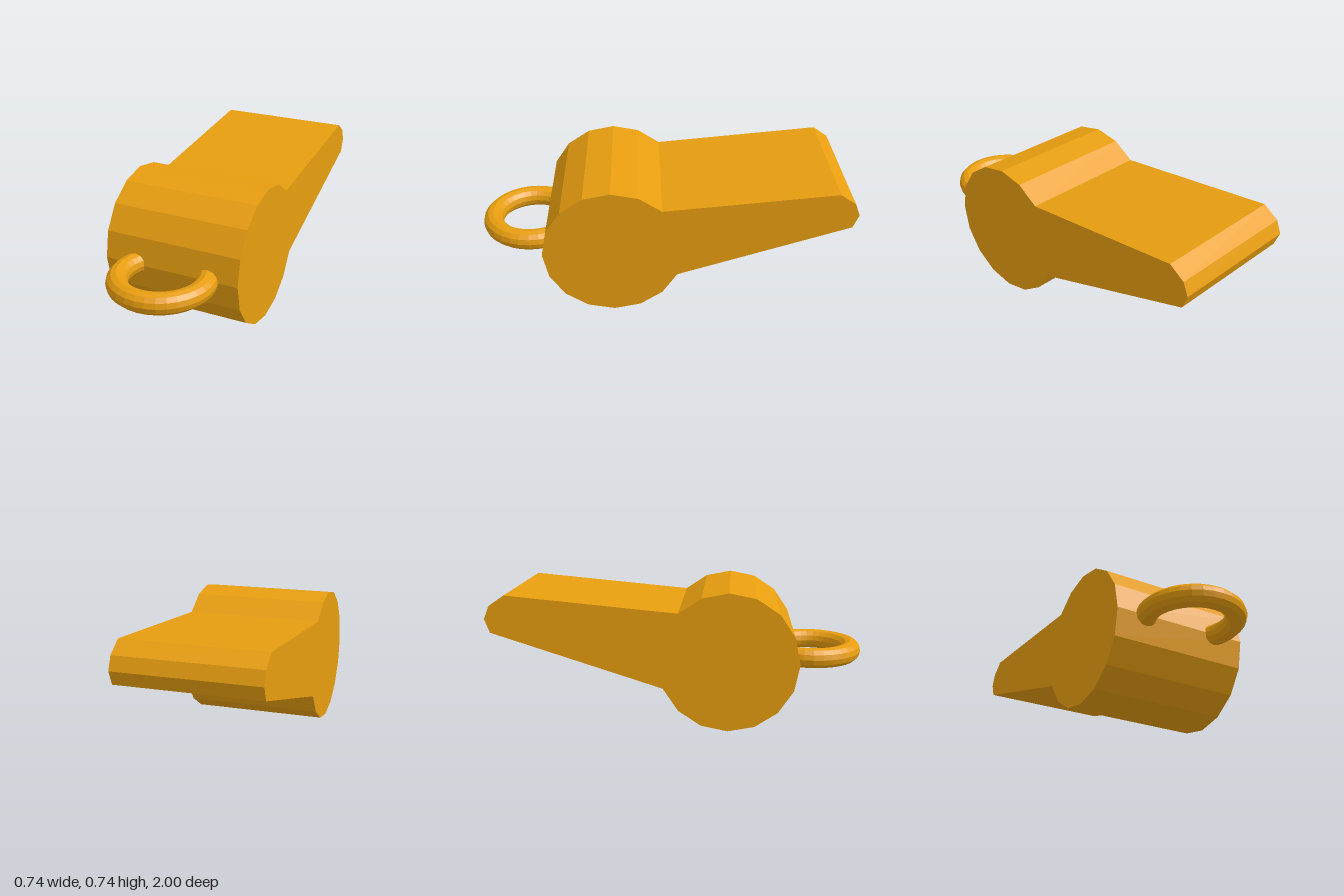
import * as THREE from 'three';

export function createModel() {
  const group = new THREE.Group();
  const amber = new THREE.MeshStandardMaterial({ color: 0xeba010, flatShading: true });
  amber.name = 'amber';

  const width = 0.738, radius = 0.37, centreZ = 0.275, centreY = 0.37;

  // Side profile: most of a 16-sided barrel, then the tapered mouthpiece
  const points = [];
  for (let i = -7; i <= 6; i++) {
    const a = (i * Math.PI) / 8;
    points.push(new THREE.Vector2(centreZ + radius * Math.cos(a), centreY + radius * Math.sin(a)));
  }
  for (const [z, y] of [[-0.89, 0.714], [-0.972, 0.657], [-1, 0.588], [-0.972, 0.515]]) {
    points.push(new THREE.Vector2(z, y));
  }
  const bodyGeometry = new THREE.ExtrudeGeometry(new THREE.Shape(points), { depth: width, bevelEnabled: false });
  bodyGeometry.translate(0, 0, -width / 2).rotateY(-Math.PI / 2);
  const body = new THREE.Mesh(bodyGeometry, amber);
  body.name = 'whistleBody';
  group.add(body);

  // Lanyard ring, lying flat and partly sunk in the barrel
  const ring = new THREE.Mesh(new THREE.TorusGeometry(0.222, 0.055, 12, 32).rotateX(Math.PI / 2), amber);
  ring.position.set(0, centreY, 0.723);
  ring.name = 'lanyardRing';
  group.add(ring);

  return group;
}
